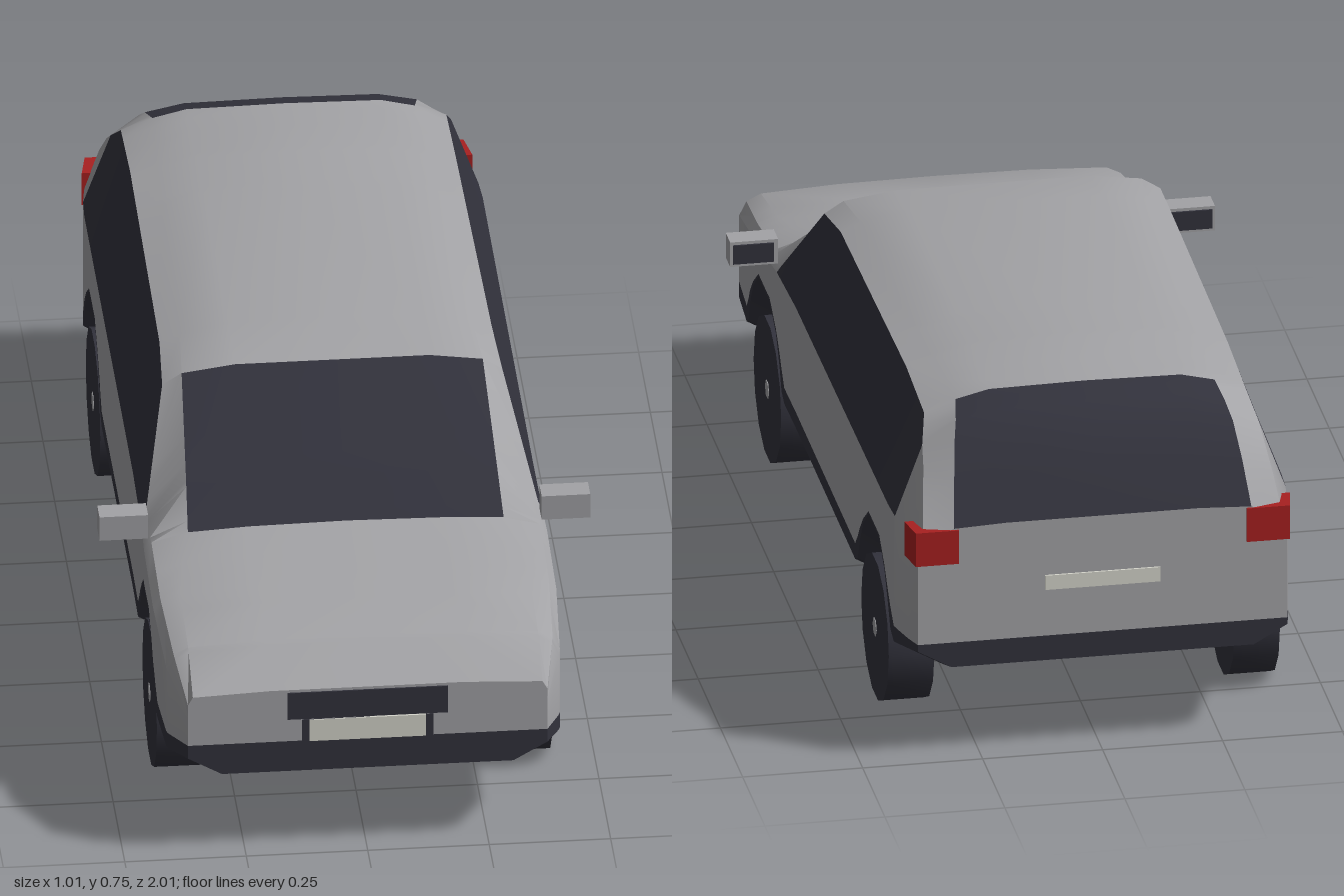
import * as THREE from 'three';
import { toCreasedNormals } from 'three/addons/utils/BufferGeometryUtils.js';

const material = (name, color) => {
  const m = new THREE.MeshStandardMaterial({ color });
  m.name = name;
  return m;
};

// Upper body: z, side half-width, belt y, glass top x/y, roof edge x/y, shoulder y, centre y
const UPPER = [
  [1.0, .37, .34, .37, .365, .36, .383, .39, .39],
  [.9, .405, .40, .39, .43, .36, .445, .453, .455],
  [.72, .415, .44, .40, .46, .36, .475, .482, .485],
  [.53, .415, .465, .40, .485, .325, .505, .512, .515],
  [.44, .412, .475, .405, .485, .32, .575, .585, .59],
  [.24, .41, .485, .35, .69, .31, .715, .73, .73],
  [.1, .41, .487, .342, .71, .30, .728, .748, .752],
  [-.6, .41, .497, .335, .715, .28, .73, .752, .757],
  [-.8, .41, .50, .335, .70, .27, .725, .742, .745],
  [-.86, .407, .50, .35, .655, .28, .705, .722, .725],
  [-.9, .402, .495, .355, .625, .29, .675, .693, .697],
  [-.95, .395, .485, .365, .57, .30, .61, .62, .62],
  [-1.0, .385, .47, .375, .50, .31, .525, .53, .53],
];
const AXLES = [.57, -.64];

// Lower body: z, floor y, top of dark trim y, rising over each wheel
const ARCH = [[.21, .175, .25], [.18, .19, .28], [.16, .235, .305], [.12, .295, .345], [.06, .342, .388]];
const LOWER = [[1, .2, .27], [.91, .175, .25]];
for (const a of AXLES) {
  for (const [d, y, t] of ARCH) LOWER.push([a + d, y, t]);
  for (const [d, y, t] of [...ARCH].reverse()) LOWER.push([a - d, y, t]);
}
LOWER.push([-1, .215, .27]);

// Linear lookup in a table sorted by falling z
function sample(table, z) {
  let i = 0;
  while (i < table.length - 2 && z < table[i + 1][0]) i++;
  const a = table[i], b = table[i + 1];
  const t = (a[0] - z) / (a[0] - b[0]);
  return a.map((v, k) => v + (b[k] - v) * t);
}

// Half cross-section from floor centre to roof centre
function section(z) {
  const [, w, belt, xg, yg, xe, ye, y7, y8] = sample(UPPER, z);
  const [, floor, trim] = sample(LOWER, z);
  return [[0, floor], [w - .07, floor], [w, floor + .04], [w, trim], [w, belt],
    [xg, yg], [xe, ye], [.2, y7], [0, y8]].map(([x, y]) => [x, y, z]);
}

const flip = ([x, y, z]) => [-x, y, z];

function buildBody(paint, dark) {
  const parts = { bodyShell: [], lowerTrim: [], windows: [] };
  const quad = (part, a, b, c, d) => parts[part].push(...a, ...b, ...c, ...a, ...c, ...d);
  const zs = [...new Set([...UPPER, ...LOWER].map(r => +r[0].toFixed(4)))].sort((a, b) => b - a);
  const rings = zs.map(section);

  for (let j = 0; j < zs.length - 1; j++) {
    const mid = (zs[j] + zs[j + 1]) / 2;
    for (let i = 0; i < 8; i++) {
      const sideGlass = i === 4 && mid < .44 && mid > -.86;
      const endGlass = i >= 6 && ((mid < .53 && mid > .24) || mid < -.8);
      const part = i < 3 ? 'lowerTrim' : sideGlass || endGlass ? 'windows' : 'bodyShell';
      const a = rings[j][i], b = rings[j][i + 1], c = rings[j + 1][i + 1], d = rings[j + 1][i];
      quad(part, a, d, c, b);
      quad(part, flip(a), flip(b), flip(c), flip(d));
    }
  }
  // Flat nose and tail
  const nose = rings[0], tail = rings[rings.length - 1];
  for (let i = 1; i < 8; i++) {
    const part = i < 3 ? 'lowerTrim' : 'bodyShell';
    quad(part, flip(nose[i]), nose[i], nose[i + 1], flip(nose[i + 1]));
    quad(part, tail[i], flip(tail[i]), flip(tail[i + 1]), tail[i + 1]);
  }

  const body = new THREE.Group();
  body.name = 'body';
  for (const [name, points] of Object.entries(parts)) {
    const g = new THREE.BufferGeometry();
    g.setAttribute('position', new THREE.Float32BufferAttribute(points, 3));
    const mesh = new THREE.Mesh(toCreasedNormals(g, .5), name === 'bodyShell' ? paint : dark);
    mesh.name = name;
    body.add(mesh);
  }
  return body;
}

export function createModel() {
  const paint = material('silver paint', 0xa3a3a6);
  const dark = material('dark glass and rubber', 0x32323c);
  const red = material('red lamp', 0xa82020);
  const cream = material('plate cream', 0xd6d6cc);

  const car = new THREE.Group();
  car.name = 'car';
  car.add(buildBody(paint, dark));

  const add = (name, geometry, mat, x, y, z) => {
    const m = new THREE.Mesh(geometry, mat);
    m.name = name;
    m.position.set(x, y, z);
    car.add(m);
    return m;
  };
  const box = (name, mat, w, h, d, x, y, z) => add(name, new THREE.BoxGeometry(w, h, d), mat, x, y, z);

  // Nose and tail details
  box('grille', dark, .33, .062, .006, 0, .353, 1);
  box('plateSurround', dark, .27, .05, .004, 0, .295, 1);
  box('frontPlate', cream, .24, .05, .008, 0, .295, 1);
  box('rearPlate', cream, .24, .032, .008, 0, .39, -1);

  for (const s of [1, -1]) {
    // Wrap-around tail lamp, its outer face following the tapering side
    const lamp = new THREE.BoxGeometry(.09, .075, .064);
    const p = lamp.attributes.position;
    for (let i = 0; i < p.count; i++) {
      if (p.getX(i) * s > 0 && p.getZ(i) > 0) p.setX(i, p.getX(i) + s * .012);
    }
    lamp.computeVertexNormals();
    add('tailLamp', lamp, red, s * .345, .485, -.972);

    // Door mirror with a dark glass facing back
    box('mirror', paint, .1, .055, .05, s * .455, .512, .487);
    box('mirrorGlass', dark, .085, .042, .006, s * .457, .512, .461);
  }

  // Wheels on through axles
  const tyre = new THREE.CylinderGeometry(.155, .155, .095, 14).rotateZ(Math.PI / 2);
  const rod = new THREE.CylinderGeometry(.02, .02, .818, 6).rotateZ(Math.PI / 2);
  const tyreGeometry = toCreasedNormals(tyre, .6);
  for (const z of AXLES) {
    add('axle', rod, paint, 0, .155, z);
    for (const s of [1, -1]) add('wheel', tyreGeometry, dark, s * .36, .155, z);
  }
  return car;
}
